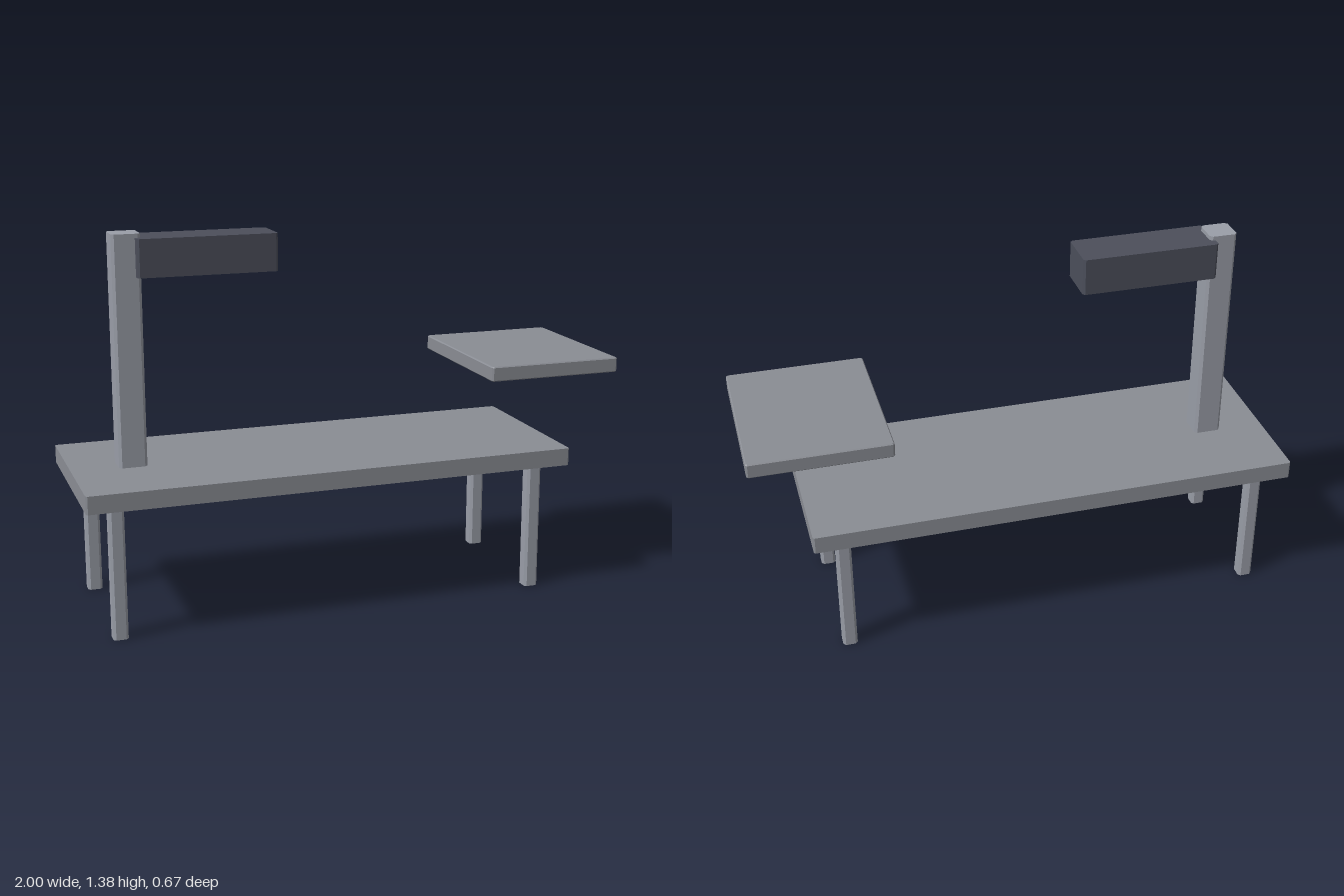
import * as THREE from 'three';

const mat = (color) => new THREE.MeshStandardMaterial({ color, flatShading: true });

// Upright block spanning the given ranges, vertical edges chamfered by c, rims bevelled by b
function block(name, [x0, x1], [y0, y1], [z0, z1], c, b, material) {
  const w = (x1 - x0) / 2 - b, d = (z1 - z0) / 2 - b;
  const s = new THREE.Shape([
    [-w + c, -d], [w - c, -d], [w, -d + c], [w, d - c],
    [w - c, d], [-w + c, d], [-w, d - c], [-w, -d + c],
  ].map(([x, y]) => new THREE.Vector2(x, y)));
  const g = new THREE.ExtrudeGeometry(s, {
    depth: y1 - y0 - 2 * b, bevelEnabled: b > 0, bevelSize: b, bevelThickness: b, bevelSegments: 1,
  });
  g.rotateX(-Math.PI / 2);
  g.translate((x0 + x1) / 2, y0 + b, (z0 + z1) / 2);
  const mesh = new THREE.Mesh(g, material);
  mesh.name = name;
  return mesh;
}

export function createModel() {
  const group = new THREE.Group();
  group.name = 'workBench';
  const slab = mat(0x8a8d94), frame = mat(0x9a9ea8), dark = mat(0x4c4f5b);

  // Bench top
  group.add(block('benchTop', [-1, 0.8], [0.485, 0.55], [-0.335, 0.335], 0.006, 0, slab));

  // Four legs
  for (const x of [-0.888, 0.688]) {
    for (const side of [-1, 1]) {
      const z = side * 0.253;
      group.add(block('leg', [x - 0.027, x + 0.027], [0, 0.486], [z - 0.027, z + 0.027], 0.009, 0, frame));
    }
  }

  // Post with its overhanging arm
  group.add(block('post', [-0.83, -0.728], [0.549, 1.38], [-0.05, 0.05], 0.01, 0, frame));
  group.add(block('arm', [-0.748, -0.245], [1.23, 1.365], [-0.083, 0.083], 0.008, 0, dark));

  // Raised tray, floating above the far end
  group.add(block('tray', [0.49, 1], [0.82, 0.875], [-0.308, 0.308], 0.004, 0.004, slab));

  return group;
}
